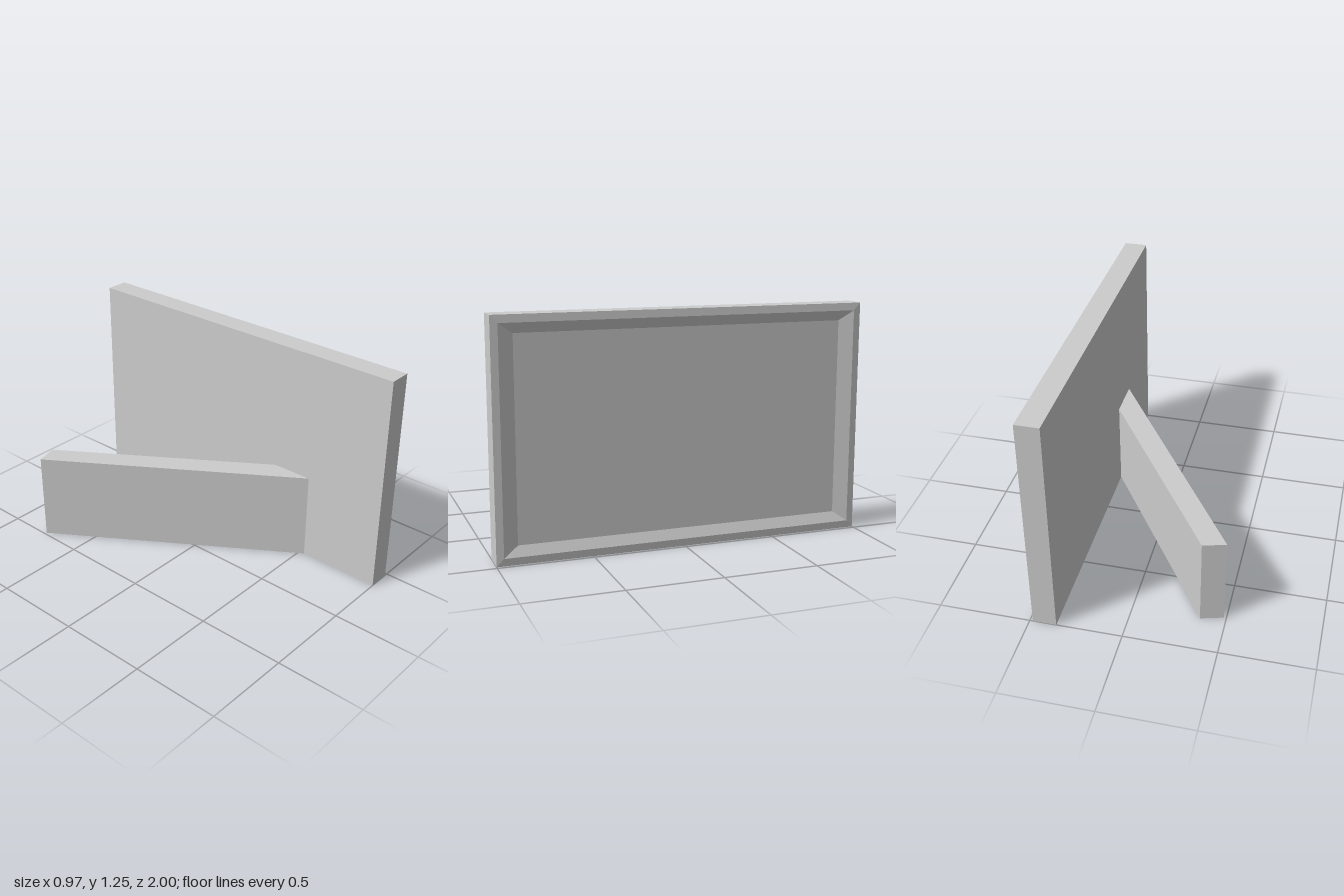
import * as THREE from 'three';

const H = 1.247; // panel height

// Skin a stack of rectangles (inset in z, inset in y, x position), capped at both ends
function rectLoft(sections) {
  const rings = sections.map(([iz, iy, x]) => [
    [x, iy, 1 - iz], [x, iy, iz - 1], [x, H - iy, iz - 1], [x, H - iy, 1 - iz],
  ]);
  const pos = [];
  const quad = (a, b, c, d) => pos.push(...a, ...b, ...c, ...a, ...c, ...d);
  for (let r = 0; r < rings.length - 1; r++) {
    for (let i = 0; i < 4; i++) {
      const j = (i + 1) % 4;
      quad(rings[r][i], rings[r][j], rings[r + 1][j], rings[r + 1][i]);
    }
  }
  const first = rings[0], last = rings[rings.length - 1];
  quad(first[3], first[2], first[1], first[0]);
  quad(...last);
  const geo = new THREE.BufferGeometry();
  geo.setAttribute('position', new THREE.Float32BufferAttribute(pos, 3));
  geo.computeVertexNormals();
  return geo;
}

export function createModel() {
  const group = new THREE.Group();
  group.name = 'standingFrame';
  const grey = new THREE.MeshStandardMaterial({ color: 0xcccccc });
  grey.name = 'light grey';

  // Framed panel: back, front edge, raised lip, bevelled recess floor
  const panel = new THREE.Mesh(rectLoft([
    [0, 0, 0.355],
    [0, 0, 0.483],
    [0.038, 0.04, 0.487],
    [0.115, 0.093, 0.46],
  ]), grey);
  panel.name = 'framedPanel';
  group.add(panel);

  // Slanted support leg: plan outline (x, z) raised to its height
  const plan = [[-0.487, -0.75], [-0.365, -0.785], [0.355, 0.3], [0.355, 0.532]];
  const shape = new THREE.Shape(plan.map(([x, z]) => new THREE.Vector2(x, -z)));
  const legGeo = new THREE.ExtrudeGeometry(shape, { depth: 0.505, bevelEnabled: false });
  legGeo.rotateX(-Math.PI / 2);
  const leg = new THREE.Mesh(legGeo, grey);
  leg.name = 'supportLeg';
  group.add(leg);

  return group;
}
